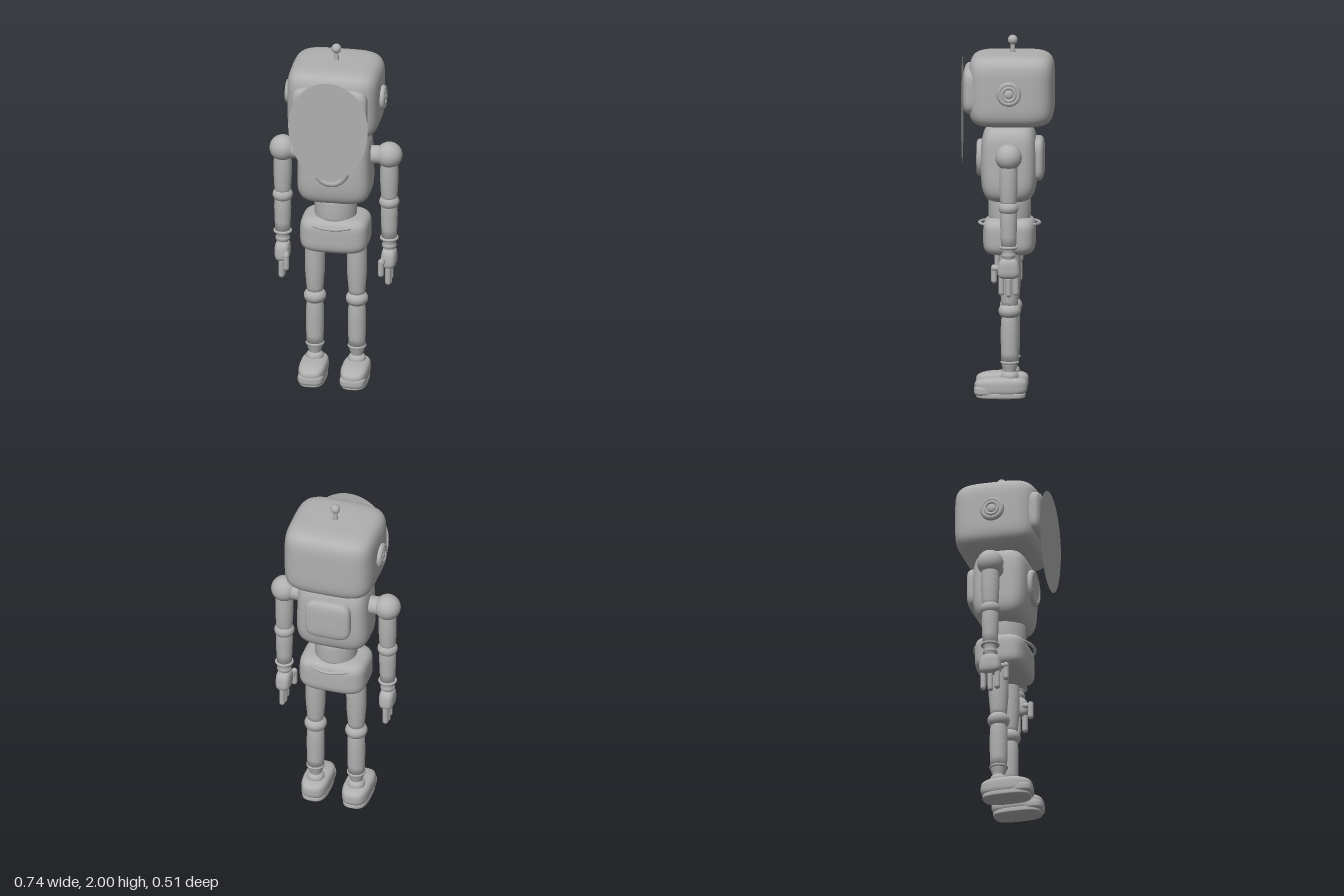
import * as THREE from 'three';
import { mergeVertices } from 'three/addons/utils/BufferGeometryUtils.js';

const Z0 = -0.012; // depth of the limb axis

export function createModel() {
  const model = new THREE.Group();
  model.name = 'robot';
  const grey = new THREE.MeshStandardMaterial({ color: 0xb0b0b0 });
  grey.name = 'grey';
  // thin surface variant of the same colour
  const sheet = new THREE.MeshStandardMaterial({ color: 0xb0b0b0, side: THREE.DoubleSide });
  sheet.name = 'greySheet';

  const add = (parent, name, geo, x = 0, y = 0, z = 0) => {
    const m = new THREE.Mesh(geo, grey);
    m.name = name;
    m.position.set(x, y, z);
    parent.add(m);
    return m;
  };

  // soft box: a = roundness seen from above, b = roundness seen from the side
  const softBox = (hx, hy, hz, a = 4, b = 5, rule) => {
    let g = new THREE.BoxGeometry(2, 2, 2, 18, 18, 18);
    g.deleteAttribute('uv');
    g.deleteAttribute('normal');
    g = mergeVertices(g, 1e-4);
    const p = g.attributes.position;
    const v = new THREE.Vector3();
    for (let i = 0; i < p.count; i++) {
      v.fromBufferAttribute(p, i);
      const plan = Math.abs(v.x) ** a + Math.abs(v.z) ** a;
      v.divideScalar((plan ** (b / a) + Math.abs(v.y) ** b) ** (1 / b));
      if (rule) rule(v);
      p.setXYZ(i, v.x * hx, v.y * hy, v.z * hz);
    }
    g.computeVertexNormals();
    return g;
  };
  const ball = (r, sy = 1) => new THREE.SphereGeometry(r, 28, 18).scale(1, sy, 1);
  const ring = (r, t) => new THREE.TorusGeometry(r, t, 12, 40);
  const flatRing = (r, t) => ring(r, t).rotateX(Math.PI / 2);
  const lathe = (pts) => new THREE.LatheGeometry(pts.map(([r, y]) => new THREE.Vector2(r, y)), 32);

  // head
  add(model, 'head', softBox(0.255, 0.2, 0.235, 4.4, 5.5), 0, 1.705, -0.02);
  add(model, 'facePlate', softBox(0.21, 0.05, 0.128, 5, 4).rotateX(Math.PI / 2), 0, 1.705, 0.198);
  add(model, 'antennaStem', new THREE.CylinderGeometry(0.011, 0.015, 0.08, 20), 0, 1.93, -0.025);
  add(model, 'antennaBall', ball(0.027), 0, 1.973, -0.025);
  add(model, 'neck', new THREE.CylinderGeometry(0.09, 0.1, 0.08, 32), 0, 1.5, -0.01);

  // flat oval panel in front of the face, fuller at the top
  const oval = [];
  for (let i = 0; i < 64; i++) {
    const t = (i / 64) * Math.PI * 2;
    const s = Math.sin(t);
    oval.push(new THREE.Vector2(0.222 * Math.cos(t), 1.62 + s * (s > 0 ? 0.262 : 0.325)));
  }
  add(model, 'facePanel', new THREE.ShapeGeometry(new THREE.Shape(oval)), 0, 0, 0.252).material = sheet;

  // torso
  const taper = (v) => { v.z *= 1 - 0.08 * v.y * v.y; v.x *= 1 - 0.03 * v.y; };
  add(model, 'torso', softBox(0.203, 0.213, 0.156, 4, 5, taper), 0, 1.298, -0.006);
  add(model, 'chestDisc', new THREE.CylinderGeometry(0.07, 0.075, 0.04, 40).rotateX(Math.PI / 2), 0, 1.32, 0.148);
  add(model, 'chestRing', ring(0.083, 0.02), 0, 1.32, 0.153);
  add(model, 'backPack', softBox(0.13, 0.045, 0.118, 4.5, 4).rotateX(Math.PI / 2), 0, 1.318, -0.157);
  add(model, 'waist', lathe([[0, 0.97], [0.112, 0.97], [0.117, 1.0], [0.117, 1.08], [0.11, 1.12], [0, 1.12]]), 0, 0, -0.008);
  add(model, 'pelvis', softBox(0.19, 0.104, 0.144, 4, 4.5), 0, 0.893, -0.008);
  add(model, 'belt', flatRing(0.166, 0.008), 0, 0.96, -0.008);

  for (const s of [1, -1]) {
    const side = s > 0 ? 'left' : 'right';

    // ear: stacked rounded discs
    const ear = new THREE.Group();
    ear.name = side + 'Ear';
    ear.position.set(s * 0.25, 1.705, Z0);
    ear.rotation.z = -s * Math.PI / 2;
    model.add(ear);
    add(ear, 'earDisc', lathe([[0.068, -0.02], [0.068, 0.016], [0.062, 0.026], [0.05, 0.028], [0.045, 0.02], [0, 0.02]]));
    add(ear, 'earRing', flatRing(0.036, 0.008), 0, 0.021, 0);
    add(ear, 'earButton', ball(0.024, 0.4), 0, 0.021, 0);

    // arm
    const arm = new THREE.Group();
    arm.name = side + 'Arm';
    arm.position.set(s * 0.297, 0, Z0);
    model.add(arm);
    add(arm, 'shoulderAxle', new THREE.CylinderGeometry(0.051, 0.051, 0.14, 28).rotateZ(Math.PI / 2), -s * 0.08, 1.357, 0);
    add(arm, 'shoulder', ball(0.073), 0, 1.36, 0);
    add(arm, 'upperArm', lathe([[0, 1.09], [0.04, 1.09], [0.046, 1.12], [0.05, 1.2], [0.05, 1.28], [0.045, 1.33]]));
    add(arm, 'elbow', ball(0.056, 0.78), 0, 1.08, 0);
    add(arm, 'forearm', lathe([[0, 0.855], [0.041, 0.855], [0.044, 0.92], [0.047, 1.0], [0.046, 1.05], [0.04, 1.07]]));
    add(arm, 'cuff', flatRing(0.044, 0.008), 0, 0.862, 0);
    add(arm, 'wrist', lathe([[0.03, 0.77], [0.03, 0.8], [0.04, 0.812], [0.04, 0.825], [0.032, 0.835], [0.042, 0.86]]));
    add(arm, 'palm', softBox(0.042, 0.058, 0.06, 3, 3.2, (v) => { v.z *= 1 - 0.12 * v.y; }), 0, 0.745, 0);
    for (const [z, y] of [[-0.04, 0.65], [0, 0.64], [0.04, 0.65]]) {
      add(arm, 'finger', new THREE.CapsuleGeometry(0.016, 0.08, 6, 16), 0, y, z);
    }
    add(arm, 'thumb', new THREE.CapsuleGeometry(0.016, 0.074, 6, 16), -s * 0.033, 0.71, 0.081);
    const joint = add(arm, 'thumbJoint', new THREE.CapsuleGeometry(0.016, 0.04, 6, 16), -s * 0.028, 0.742, 0.06);
    joint.rotation.x = Math.PI / 2;

    // leg
    const leg = new THREE.Group();
    leg.name = side + 'Leg';
    leg.position.set(s * 0.117, 0, Z0);
    model.add(leg);
    add(leg, 'thigh', lathe([[0, 0.49], [0.042, 0.5], [0.047, 0.54], [0.055, 0.64], [0.056, 0.74], [0.053, 0.83]]));
    add(leg, 'knee', ball(0.062, 0.78), 0, 0.485, 0);
    add(leg, 'shin', lathe([[0, 0.195], [0.046, 0.195], [0.048, 0.25], [0.05, 0.36], [0.048, 0.43], [0.042, 0.46]]));
    add(leg, 'shinRing', flatRing(0.044, 0.008), 0, 0.2, 0);
    add(leg, 'ankle', lathe([[0.032, 0.13], [0.034, 0.158], [0.042, 0.175], [0.045, 0.2]]));
    add(leg, 'ankleBall', ball(0.049, 0.75), 0, 0.122, 0);

    // foot, a little lower at the toe
    const foot = new THREE.Group();
    foot.name = side + 'Foot';
    foot.position.set(s * 0.117, 0, 0.036);
    model.add(foot);
    const slope = (v) => { if (v.y > 0 && v.z > 0) v.y *= 1 - 0.2 * v.z * v.z; };
    add(foot, 'shoe', softBox(0.076, 0.053, 0.145, 3, 3.6, slope), 0, 0.067, 0);
    add(foot, 'toeCap', softBox(0.072, 0.03, 0.07, 3, 4), 0, 0.045, 0.078);
    add(foot, 'sole', softBox(0.073, 0.018, 0.136, 3, 5), 0, 0.018, 0);
  }
  return model;
}
